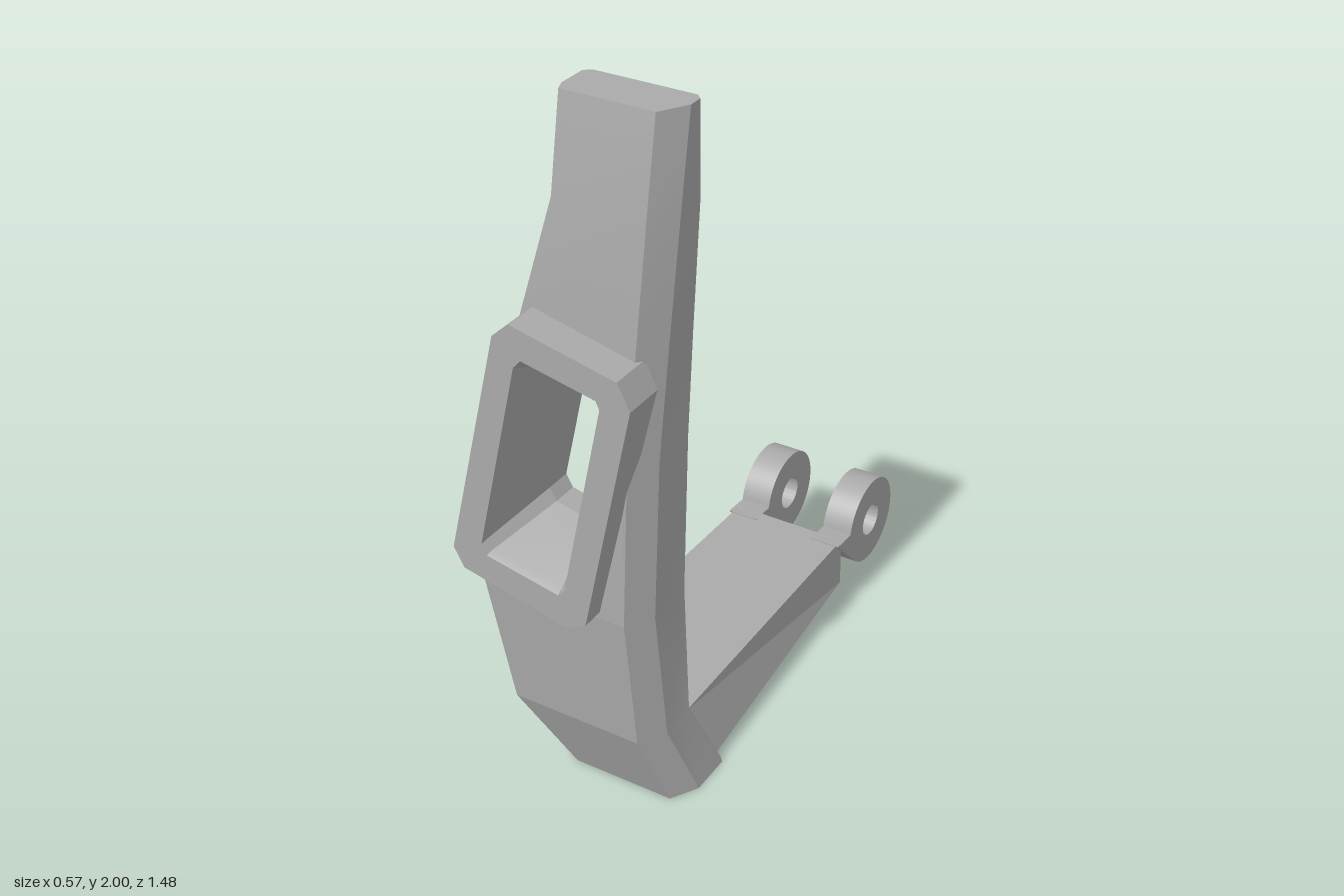
import * as THREE from 'three';
import { toCreasedNormals } from 'three/addons/utils/BufferGeometryUtils.js';

const grey = new THREE.MeshStandardMaterial({ color: 0xaaaaaa });
grey.name = 'plain grey';

// Skins a list of equal-length rings; skip(band, side) leaves a face open.
function loft(rings, { capStart = false, capEnd = false, skip = () => false } = {}) {
  const pos = [];
  const tri = (...pts) => pts.forEach((p) => pos.push(...p));
  const n = rings[0].length;
  for (let r = 0; r < rings.length - 1; r++) {
    for (let i = 0; i < n; i++) {
      if (skip(r, i)) continue;
      const j = (i + 1) % n, a = rings[r], b = rings[r + 1];
      tri(a[i], a[j], b[j]);
      tri(a[i], b[j], b[i]);
    }
  }
  const last = rings[rings.length - 1];
  for (let i = 1; i < n - 1; i++) {
    if (capStart) tri(rings[0][0], rings[0][i + 1], rings[0][i]);
    if (capEnd) tri(last[0], last[i], last[i + 1]);
  }
  const g = new THREE.BufferGeometry();
  g.setAttribute('position', new THREE.Float32BufferAttribute(pos, 3));
  return toCreasedNormals(g, 0.2);
}

// Flat face with openings, pushed to a depth given by its height.
function plate(outline, holes, depth, flip = false) {
  const v = (pts) => pts.map(([x, y]) => new THREE.Vector2(x, y));
  const shape = new THREE.Shape(v(outline));
  holes.forEach((h) => shape.holes.push(new THREE.Path(v(h))));
  let g = new THREE.ShapeGeometry(shape);
  const p = g.attributes.position;
  for (let i = 0; i < p.count; i++) p.setZ(i, depth(p.getY(i)));
  if (flip) g.setIndex([...g.index.array].reverse());
  g = g.toNonIndexed();
  g.computeVertexNormals();
  return g;
}

const atZ = (loop, z) => loop.map(([x, y]) => [x, y, typeof z === 'function' ? z(y) : z]);
const scaled = (loop, s, cx, cy) => loop.map(([x, y]) => [cx + (x - cx) * s, cy + (y - cy) * s]);

// Post stations: height, left x, right x, front z, back z
const STATIONS = [
  [0, -0.07, 0.285, 0.56, 0.345],
  [0.235, -0.2, 0.24, 0.645, 0.445],
  [0.63, -0.262, 0.227, 0.676, 0.445],
  [1.1, -0.2, 0.24, 0.667, 0.445],
  [1.4, -0.135, 0.255, 0.645, 0.445],
  [1.75, -0.04, 0.275, 0.62, 0.445],
  [2, -0.04, 0.275, 0.575, 0.445],
];

// Octagonal loops of the tilted window, counter-clockwise from the front
const OUTER = [[-0.08, 1.455], [-0.13, 1.41], [-0.29, 0.745], [-0.26, 0.69],
  [0.05, 0.62], [0.11, 0.65], [0.255, 1.32], [0.22, 1.39]];
const MOUTH = [[-0.05, 1.365], [-0.072, 1.34], [-0.2, 0.785], [-0.185, 0.755],
  [0.03, 0.713], [0.05, 0.735], [0.17, 1.3], [0.16, 1.322]];
const HOLE = [[-0.03, 1.29], [-0.05, 1.25], [-0.14, 0.85], [-0.12, 0.815],
  [-0.01, 0.79], [0.02, 0.82], [0.11, 1.23], [0.1, 1.26]];
const POCKET = [[0.08, 1.92], [0.07, 1.91], [0.07, 1.77], [0.08, 1.76],
  [0.155, 1.76], [0.165, 1.77], [0.165, 1.91], [0.155, 1.92]];

export function createModel() {
  const model = new THREE.Group();
  const add = (name, geometry, parent = model) => {
    const m = new THREE.Mesh(geometry, grey);
    m.name = name;
    parent.add(m);
    return m;
  };

  // Upright post with chamfered corners
  const post = new THREE.Group();
  post.name = 'post';
  model.add(post);
  const rings = STATIONS.map(([y, l, r, f, b]) => [
    [l + 0.012, y, f], [r - 0.045, y, f], [r, y, f - 0.075], [r, y, b + 0.015],
    [r - 0.015, y, b], [l + 0.02, y, b], [l, y, b + 0.015], [l, y, f - 0.03],
  ]);
  add('postShell', loft(rings, {
    capStart: true, capEnd: true,
    skip: (band, side) => (side === 0 && (band === 2 || band === 3)) || (side === 4 && band > 0),
  }), post);

  // Pierced front and back faces
  const outline = (sections, a, b) => [
    ...sections.map((s) => s[a]), ...sections.map((s) => s[b]).reverse()];
  const frontZ = (y) => (y < 1.1
    ? THREE.MathUtils.mapLinear(y, 0.63, 1.1, 0.676, 0.667)
    : THREE.MathUtils.mapLinear(y, 1.1, 1.4, 0.667, 0.645));
  add('postFront', plate(outline(rings.slice(2, 5), 1, 0), [MOUTH], frontZ), post);
  add('postBack', plate(outline(rings.slice(1), 4, 5), [HOLE, POCKET], () => 0.445, true), post);

  // Shallow pocket near the top of the back
  add('pocketWalls', loft([atZ(POCKET, 0.475), atZ(POCKET, 0.445)].reverse().map((r) => [...r].reverse()).reverse()
    .reverse(), {}).scale(1, 1, 1), post).material = grey;
  add('pocketFloor', plate(POCKET, [], () => 0.475, true), post);

  // Raised window frame and its funnel through the post
  const backZ = (y) => THREE.MathUtils.mapLinear(y, 0.65, 1.4, 0.665, 0.617);
  add('windowFrame', loft([
    atZ(MOUTH, backZ), atZ(OUTER, backZ), atZ(OUTER, 0.74), atZ(MOUTH, 0.74),
    atZ(scaled(MOUTH, 0.97, -0.015, 1.04), 0.72), atZ(HOLE, 0.52), atZ(HOLE, 0.445),
  ]));

  // Tapered arm running back from the foot of the post
  add('arm', loft([
    [[-0.12, 0.085, -0.43], [0.232, 0.085, -0.43], [0.23, 0.238, -0.43], [-0.12, 0.238, -0.43]],
    [[-0.152, 0.032, 0.38], [0.272, 0.032, 0.38], [0.23, 0.225, 0.46], [-0.152, 0.225, 0.46]],
  ], { capStart: true, capEnd: true }));

  // Pair of pierced lugs at the end of the arm
  const eye = new THREE.Shape();
  eye.moveTo(0.39, 0.12);
  eye.absarc(0.605, 0.213, 0.135, Math.PI + 0.76, 3 * Math.PI - 0.16, false);
  eye.lineTo(0.39, 0.24);
  eye.holes.push(new THREE.Path().absarc(0.605, 0.213, 0.05, 0, Math.PI * 2, true));
  const lug = toCreasedNormals(new THREE.ExtrudeGeometry(eye,
    { depth: 0.092, bevelEnabled: false, curveSegments: 32 }).rotateY(Math.PI / 2), 0.4);
  for (const [name, x] of [['rightLug', -0.132], ['leftLug', 0.148]]) {
    add(name, lug).position.x = x;
  }
  return model;
}
